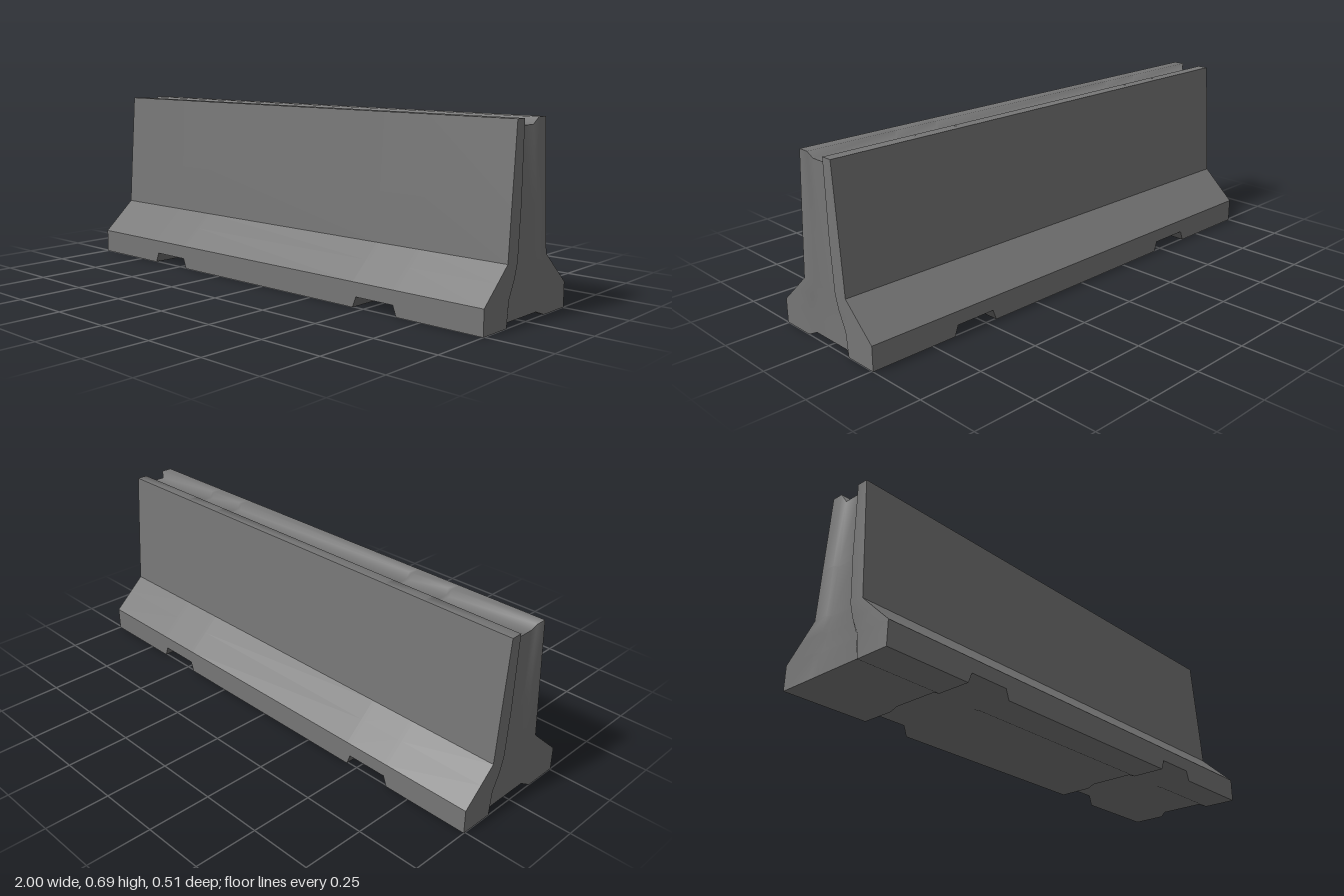
import * as THREE from 'three';
import { mergeVertices } from 'three/addons/utils/BufferGeometryUtils.js';

// Cross-section rows, top to bottom: y, outer half width, groove rim and groove floor half widths
const ROWS = [
  [0.685, 0.088, 0.044, 0.035],
  [0.40, 0.109, 0.05, 0.04],
  [0.215, 0.122, 0.062, 0.05],
  [0.16, 0.182, 0.078, 0.064],
  [0.093, 0.256, 0.11, 0.09],
  [0, 0.256, 0.12, 0.092],
];
// Stations along the length: x and underside height, which rises at the two lifting slots
const HALF = [[0.455, 0], [0.47, 0.04], [0.635, 0.04], [0.65, 0], [1, 0]];
const STATIONS = [...HALF.map(([x, y]) => [-x, y]).reverse(), ...HALF];
// Columns across the width, front to back: sign and index into a row
const COLS = [[1, 1], [1, 2], [1, 3], [-1, 3], [-1, 2], [-1, 1]];
const LAST_ROW = ROWS.length - 1, LAST_X = STATIONS.length - 1, LAST_COL = COLS.length - 1;

function point(i, r, c) {
  const [sign, kind] = COLS[c];
  const inner = kind === 3;
  let [x, lift] = STATIONS[i];
  let y = ROWS[r][0];
  if (inner && Math.abs(x) === 1) x *= 0.985;            // end key groove
  if (r === 0 && inner) y = 0.66;                        // top groove
  if (r === LAST_ROW) y = Math.max(lift, inner ? 0.012 : 0); // drainage channel and slots
  return [x, y, sign * ROWS[r][kind]];
}

// Sheet of quads whose front is on the u cross v side; smooth sheets share their vertices
function sheet(name, nu, nv, f, material, smooth) {
  const pos = [];
  for (let u = 0; u < nu; u++) {
    for (let v = 0; v < nv; v++) {
      const a = f(u, v), b = f(u + 1, v), c = f(u + 1, v + 1), d = f(u, v + 1);
      pos.push(...a, ...b, ...c, ...a, ...c, ...d);
    }
  }
  let geometry = new THREE.BufferGeometry();
  geometry.setAttribute('position', new THREE.Float32BufferAttribute(pos, 3));
  if (smooth) geometry = mergeVertices(geometry);
  geometry.computeVertexNormals();
  const mesh = new THREE.Mesh(geometry, material);
  mesh.name = name;
  return mesh;
}

export function createModel() {
  const concrete = new THREE.MeshStandardMaterial({ color: 0x777777 });
  const barrier = new THREE.Group();
  barrier.name = 'concreteBarrier';
  barrier.add(
    // Long faces, sharp between their slopes
    sheet('frontFace', LAST_ROW, LAST_X, (r, i) => point(i, r, 0), concrete, false),
    sheet('backFace', LAST_X, LAST_ROW, (i, r) => point(i, r, LAST_COL), concrete, false),
    // Grooved top and slotted underside, softly shaded
    sheet('groovedTop', LAST_X, LAST_COL, (i, c) => point(i, 0, c), concrete, true),
    sheet('underside', LAST_COL, LAST_X, (c, i) => point(i, LAST_ROW, c), concrete, true),
    // Ends with flared key grooves, softly shaded
    sheet('leftEnd', LAST_ROW, LAST_COL, (r, c) => point(LAST_X, r, c), concrete, true),
    sheet('rightEnd', LAST_COL, LAST_ROW, (c, r) => point(0, r, c), concrete, true),
  );
  return barrier;
}
